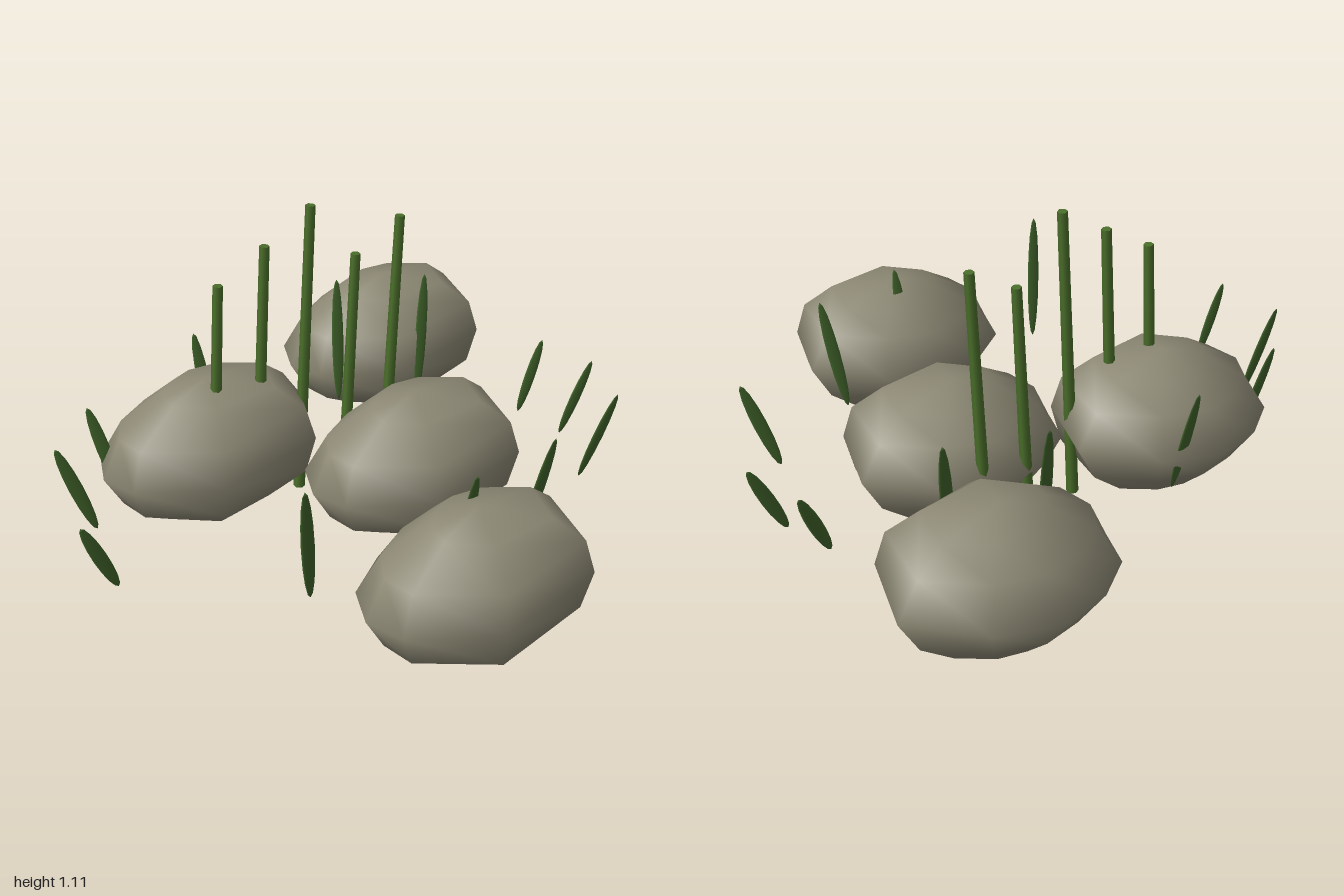
import * as THREE from 'three';
import { mergeVertices } from 'three/addons/utils/BufferGeometryUtils.js';

const material = (name, color) => {
  const m = new THREE.MeshStandardMaterial({ color });
  m.name = name;
  return m;
};

// Rounded boulder: an irregular outline shrunk ring by ring towards both poles
function boulderGeometry() {
  const outline = [
    [-0.02, -0.30], [0.19, -0.25], [0.385, -0.08], [0.295, 0.20], [-0.08, 0.295],
    [-0.335, 0.14], [-0.385, 0.01], [-0.34, -0.13], [-0.20, -0.24],
  ];
  // radius of each ring: fuller at the front, tapering to a blunt point at the back
  const ringRadius = [
    () => 0,
    (x, z) => 0.5 * (1 + 0.5 * x + 0.5 * z),
    (x, z) => 0.866 * (0.965 + 0.42 * z),
    () => 1,
    (x, z) => 0.866 * (0.96 + 0.42 * z),
    (x, z) => 0.5 * (1 + 0.5 * z),
    () => 0,
  ];
  const n = outline.length, rows = ringRadius.length - 1, pos = [], index = [];
  for (let j = 0; j <= rows; j++) {
    const t = (j / rows) * Math.PI;
    const tilt = 0.09 * Math.sin(t) ** 3;
    for (const [ox, oz] of outline) {
      const r = ringRadius[j](ox, oz);
      pos.push(ox * r, 0.242 * Math.cos(t) + tilt * ox, oz * r);
    }
  }
  for (let j = 0; j < rows; j++) {
    for (let i = 0; i < n; i++) {
      const k = (i + 1) % n;
      const a = j * n + i, c = j * n + k, b = a + n, d = c + n;
      if (j > 0) index.push(a, c, b);
      if (j < rows - 1) index.push(c, d, b);
    }
  }
  const g = new THREE.BufferGeometry();
  g.setAttribute('position', new THREE.Float32BufferAttribute(pos, 3));
  g.setIndex(index);
  const merged = mergeVertices(g);
  merged.computeVertexNormals();
  return merged;
}

export function createModel() {
  const model = new THREE.Group();
  model.name = 'rocksAndReeds';
  const stone = material('stone', 0x8c8874);
  const stalkGreen = material('stalkGreen', 0x4a6e2a);
  const leafGreen = material('leafGreen', 0x40632a);

  // Four boulders of the same shape
  const boulder = boulderGeometry();
  [[0.05, 0.245, 0.70], [0.245, 0.245, 0.015], [-0.355, 0.31, -0.30], [0.54, 0.31, -0.70]]
    .forEach((p, i) => {
      const mesh = new THREE.Mesh(boulder, stone);
      mesh.name = `boulder${i + 1}`;
      mesh.position.set(...p);
      model.add(mesh);
    });

  // Row of five slightly leaning reed stalks
  const up = new THREE.Vector3(0, 1, 0);
  [[-0.335, 0.905], [-0.168, 1.005], [-0.002, 1.11], [0.163, 0.905], [0.33, 1.005]]
    .forEach(([x, y], i) => {
      const top = new THREE.Vector3(x, y, -0.23);
      const base = new THREE.Vector3(x - 0.054 * (y - 0.08), 0.08, -0.23);
      const axis = top.clone().sub(base);
      const mesh = new THREE.Mesh(new THREE.CylinderGeometry(0.0165, 0.02, axis.length(), 6), stalkGreen);
      mesh.name = `stalk${i + 1}`;
      mesh.position.copy(top).add(base).multiplyScalar(0.5);
      mesh.quaternion.setFromUnitVectors(up, axis.normalize());
      model.add(mesh);
    });

  // Thin pointed leaves fanning outwards: base, then tip
  const leaf = new THREE.SphereGeometry(1, 8, 8);
  [
    [[-0.865, 0.155, 0.115], [-0.978, 0.41, 0.13]],
    [[-0.81, 0.17, -0.19], [-0.92, 0.485, -0.215]],
    [[-0.66, 0.18, -0.365], [-0.735, 0.485, -0.41]],
    [[-0.41, 0.20, 0.51], [-0.463, 0.63, 0.583]],
    [[0.36, 0.17, 0.51], [0.408, 0.555, 0.585]],
    [[0.07, 0.19, 0.57], [0.08, 0.555, 0.65]],
    [[0.72, 0.175, 0.313], [0.82, 0.485, 0.36]],
    [[0.85, 0.155, 0.02], [0.972, 0.41, 0.02]],
    [[0.80, 0.165, -0.165], [0.912, 0.41, -0.195]],
    [[0.52, 0.20, -0.403], [0.587, 0.63, -0.478]],
    [[0.25, 0.20, -0.50], [0.287, 0.635, -0.583]],
    [[-0.235, 0.19, -0.52], [-0.27, 0.56, -0.587]],
  ].forEach(([b, t], i) => {
    const base = new THREE.Vector3(...b), tip = new THREE.Vector3(...t);
    const axis = tip.clone().sub(base);
    const half = axis.length() / 2;
    axis.normalize();
    // leaf width stays close to the x direction
    const wide = new THREE.Vector3(1, 0, 0).addScaledVector(axis, -axis.x).normalize();
    const thin = new THREE.Vector3().crossVectors(wide, axis);
    const mesh = new THREE.Mesh(leaf, leafGreen);
    mesh.name = `leaf${i + 1}`;
    mesh.position.copy(base).add(tip).multiplyScalar(0.5);
    mesh.quaternion.setFromRotationMatrix(new THREE.Matrix4().makeBasis(wide, axis, thin));
    mesh.scale.set(0.023, half, 0.004);
    model.add(mesh);
  });

  return model;
}
